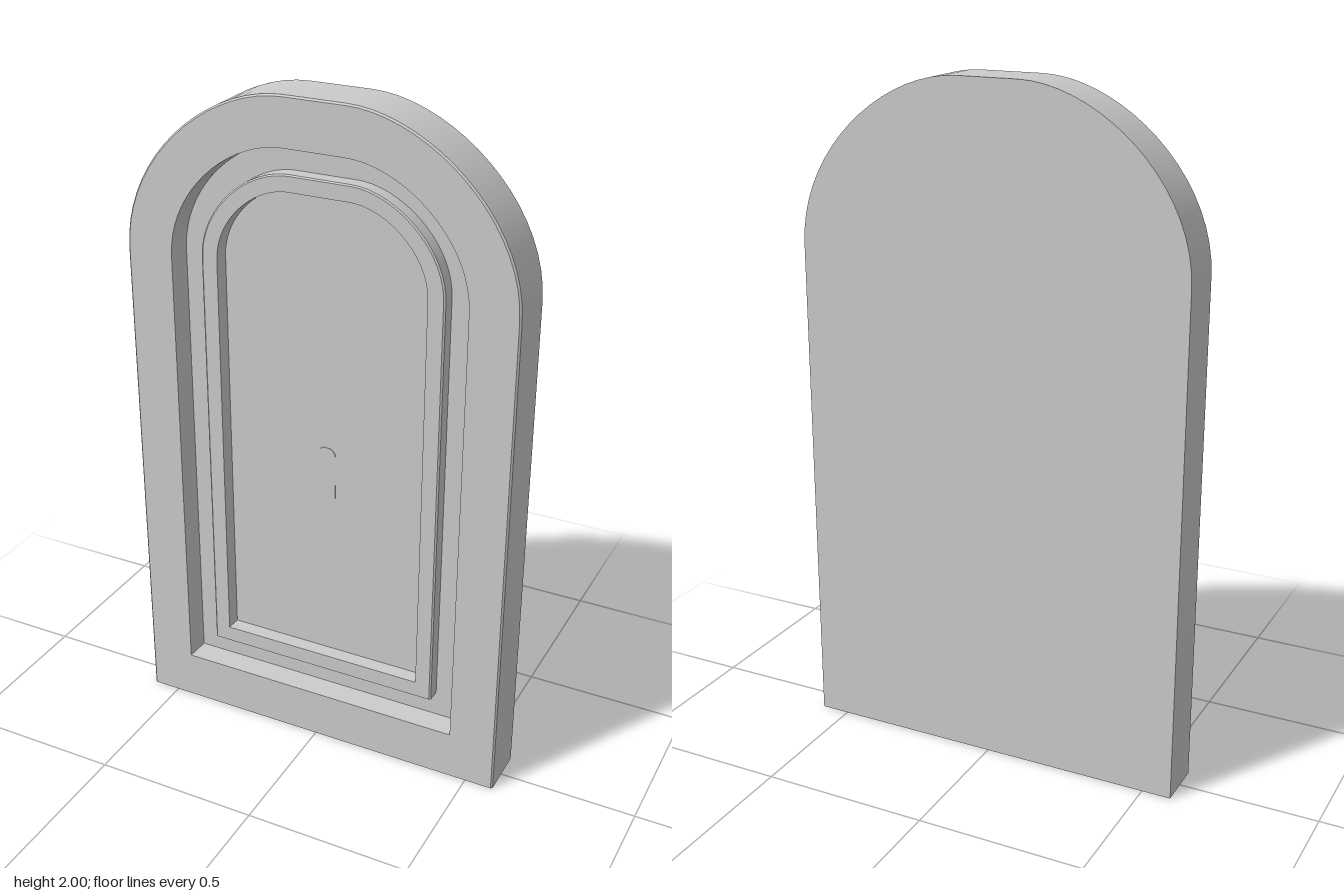
import * as THREE from 'three';
import { toCreasedNormals } from 'three/addons/utils/BufferGeometryUtils.js';

const material = new THREE.MeshStandardMaterial({ color: 0xcccccc, side: THREE.DoubleSide });
const SPRING = 1.5; // height where every arch starts
const FLAT = 0.09; // half length of the flat crown
const STEPS = 18;

// Closed arched outline, counter-clockwise from the bottom left corner
function archOutline(halfWidth, bottom, top, spring = SPRING, flat = FLAT) {
  const k = 0.55;
  const corner = new THREE.CubicBezierCurve(
    new THREE.Vector2(halfWidth, spring),
    new THREE.Vector2(halfWidth, spring + k * (top - spring)),
    new THREE.Vector2(flat + (1 - k) * (halfWidth - flat), top),
    new THREE.Vector2(flat, top)
  ).getPoints(STEPS);
  const mirrored = corner.map((p) => new THREE.Vector2(-p.x, p.y)).reverse();
  return [new THREE.Vector2(-halfWidth, bottom), new THREE.Vector2(halfWidth, bottom), ...corner, ...mirrored];
}

// Surface running through successive arched rings [halfWidth, bottom, top, z]
function loftRings(rings, openBottom = false) {
  const positions = [];
  const loops = rings.map(([w, b, t, z]) => archOutline(w, b, t).map((p) => [p.x, p.y, z]));
  for (let r = 0; r < loops.length - 1; r++) {
    const a = loops[r], b = loops[r + 1], n = a.length;
    for (let i = openBottom ? 1 : 0; i < n; i++) {
      const j = (i + 1) % n;
      positions.push(...a[i], ...a[j], ...b[j], ...a[i], ...b[j], ...b[i]);
    }
  }
  const geometry = new THREE.BufferGeometry();
  geometry.setAttribute('position', new THREE.Float32BufferAttribute(positions, 3));
  return toCreasedNormals(geometry, 0.45);
}

export function createModel() {
  const group = new THREE.Group();
  const add = (name, geometry, z = 0) => {
    const mesh = new THREE.Mesh(geometry, material);
    mesh.name = name;
    mesh.position.z = z;
    group.add(mesh);
    return mesh;
  };
  const sheet = (outline) => new THREE.ShapeGeometry(new THREE.Shape(outline));

  const back = -0.08, front = 0.075, rimZ = 0.045, floor = 0;

  // Outer edge with a fine front bevel, left open underneath
  add('outerEdge', loftRings([
    [0.587, 0, 2, back],
    [0.587, 0, 2, front - 0.005],
    [0.582, 0, 1.995, front],
  ], true));

  // Flat back
  add('backPanel', sheet(archOutline(0.587, 0, 2)), back).geometry.rotateY(Math.PI);

  // Wide front border and the wall of its recess
  add('frontBorder', loftRings([
    [0.582, 0, 1.995, front],
    [0.445, 0.15, 1.86, front],
    [0.442, 0.15, 1.857, floor],
  ]));

  // Groove floor around the moulding
  add('grooveFloor', loftRings([
    [0.442, 0.15, 1.857, floor],
    [0.367, 0.229, 1.78, floor],
  ]));

  // Raised moulding around the inner panel
  add('moulding', loftRings([
    [0.367, 0.229, 1.78, floor],
    [0.367, 0.229, 1.78, rimZ - 0.004],
    [0.362, 0.231, 1.776, rimZ],
    [0.317, 0.279, 1.732, rimZ],
    [0.315, 0.279, 1.73, floor],
  ]));

  // Sunken inner panel
  add('innerPanel', sheet(archOutline(0.315, 0.279, 1.73)), floor);

  // Small arched plate lying almost flush on the panel
  add('keyPlate', new THREE.ExtrudeGeometry(
    new THREE.Shape(archOutline(0.029, 0.81, 0.97, 0.945, 0.006)),
    { depth: 0.002, bevelEnabled: false }
  ), floor);

  return group;
}
